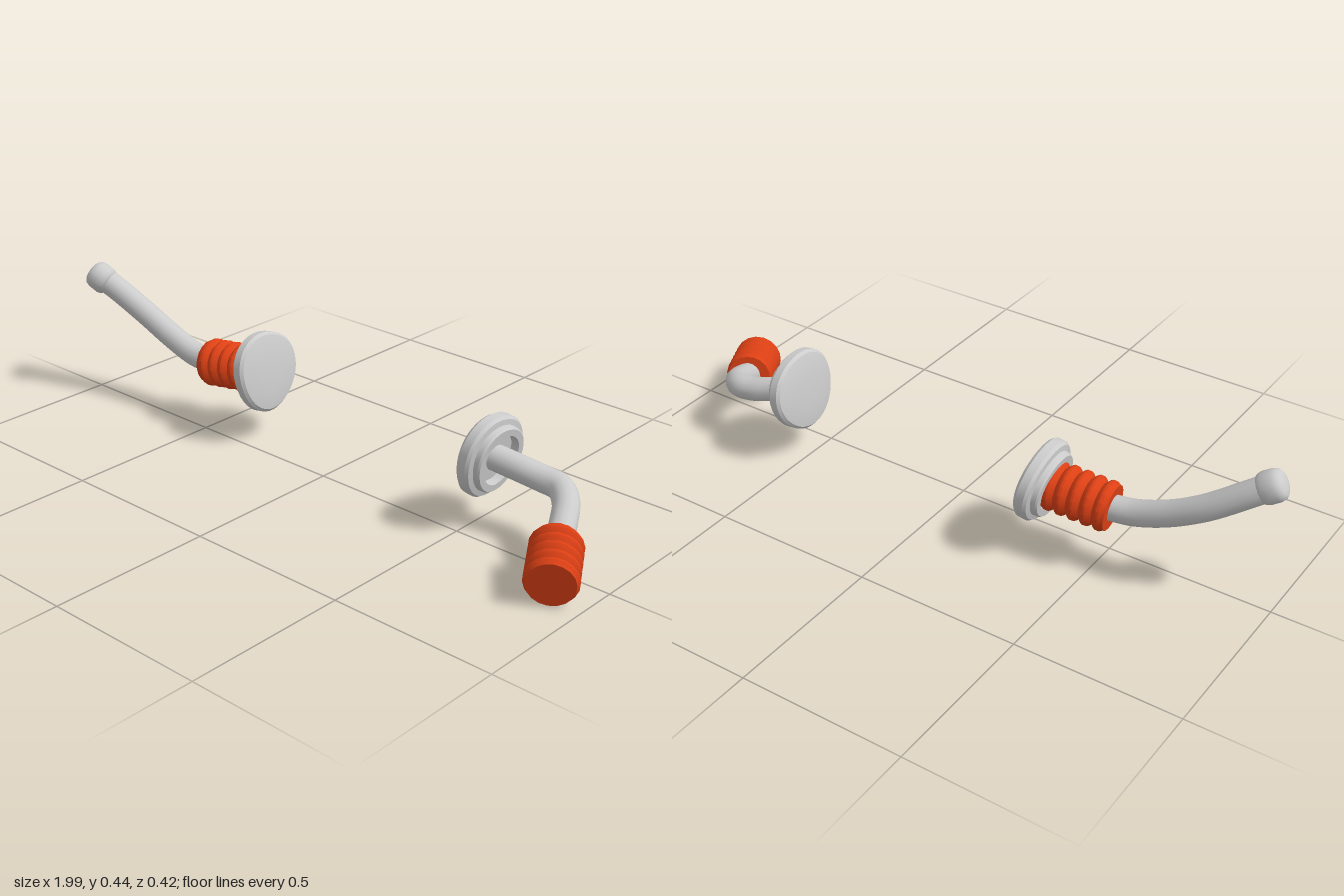
import * as THREE from 'three';
import { toCreasedNormals } from 'three/addons/utils/BufferGeometryUtils.js';

const V = (a) => new THREE.Vector3(...a);
const grey = new THREE.MeshStandardMaterial({ color: 0xcccccc });
const orange = new THREE.MeshStandardMaterial({ color: 0xdd4015 });

function part(name, geometry, material = grey) {
  const mesh = new THREE.Mesh(geometry, material);
  mesh.name = name;
  return mesh;
}

function lathe(points, segments) {
  return new THREE.LatheGeometry(points.map(([r, y]) => new THREE.Vector2(r, y)), segments);
}

// Stand a lathed part at a point with its local y along a direction
function place(mesh, position, direction) {
  const y = V(direction).normalize();
  const x = y.clone().cross(new THREE.Vector3(0, 0, 1)).normalize();
  const z = x.clone().cross(y);
  mesh.quaternion.setFromRotationMatrix(new THREE.Matrix4().makeBasis(x, y, z));
  mesh.position.copy(V(position));
  return mesh;
}

// Slightly three-lobed plate with a raised, recessed collar on one side
function plate(name, position, direction) {
  const geometry = lathe([
    [0, -0.028], [0.05, -0.027], [0.09, -0.024], [0.115, -0.019], [0.123, -0.01],
    [0.123, 0.014], [0.116, 0.023], [0.1, 0.026], [0.098, 0.04], [0.094, 0.045],
    [0.074, 0.045], [0.072, 0.02], [0, 0.02],
  ], 40);
  const side = Math.sign(direction[0]);
  const p = geometry.attributes.position;
  for (let i = 0; i < p.count; i++) {
    const angle = Math.atan2(-side * p.getX(i), -p.getZ(i));
    const k = 1 + 0.03 * Math.cos(3 * (angle - Math.PI / 12));
    p.setX(i, p.getX(i) * k);
    p.setZ(i, p.getZ(i) * k);
  }
  return place(part(name, toCreasedNormals(geometry, 0.5)), position, direction);
}

// Ribbed grip between two points, closed at both ends
function grip(name, from, to) {
  const axis = V(to).sub(V(from));
  const length = axis.length();
  const ribs = 5, steps = 5;
  const profile = [[0, 0]];
  for (let i = 0; i < ribs; i++) {
    for (let j = 0; j <= steps; j++) {
      if (i > 0 && j === 0) continue;
      const edge = (i === 0 && j === 0) || (i === ribs - 1 && j === steps);
      const r = edge ? 0.067 : 0.061 + 0.014 * Math.sin((Math.PI * j) / steps);
      profile.push([r, (length * (i + j / steps)) / ribs]);
    }
  }
  profile.push([0, length]);
  const geometry = toCreasedNormals(lathe(profile, 18), 0.6);
  return place(part(name, geometry, orange), from, axis.toArray());
}

function tube(name, points) {
  const curve = new THREE.CatmullRomCurve3(points.map(V));
  return part(name, new THREE.TubeGeometry(curve, 40, 0.038, 14, false));
}

export function createModel() {
  const model = new THREE.Group();

  // Left side: plate, bent arm and a grip at its end
  const left = new THREE.Group();
  left.name = 'leftArm';
  left.add(
    plate('leftPlate', [0.53, 0.222, -0.09], [0.99, -0.14, 0.02]),
    tube('leftTube', [
      [0.54, 0.215, -0.095], [0.62, 0.2, -0.11], [0.69, 0.185, -0.125], [0.745, 0.178, -0.125],
      [0.79, 0.162, -0.09], [0.82, 0.138, -0.04], [0.855, 0.1, 0.04],
    ]),
    grip('leftGrip', [0.843, 0.103, 0.02], [0.93, 0.076, 0.168]),
  );

  // Right side: plate, grip next to it, then a long curved arm with a knob
  const right = new THREE.Group();
  right.name = 'rightArm';
  const knob = lathe([
    [0, -0.034], [0.034, -0.034], [0.042, -0.029], [0.046, -0.016], [0.046, 0.012],
    [0.042, 0.026], [0.033, 0.034], [0.018, 0.037], [0, 0.038],
  ], 20);
  right.add(
    plate('rightPlate', [-0.322, 0.224, -0.09], [-0.98, -0.17, 0.03]),
    grip('rightGrip', [-0.345, 0.219, -0.085], [-0.538, 0.2, -0.065]),
    tube('rightTube', [
      [-0.52, 0.2, -0.066], [-0.6, 0.208, -0.06], [-0.7, 0.243, -0.055], [-0.8, 0.295, -0.043],
      [-0.9, 0.36, -0.014], [-0.955, 0.396, 0.007],
    ]),
    place(part('rightKnob', toCreasedNormals(knob, 0.8)), [-0.957, 0.396, 0.01], [-0.84, 0.5, 0.25]),
  );

  model.add(left, right);
  return model;
}
